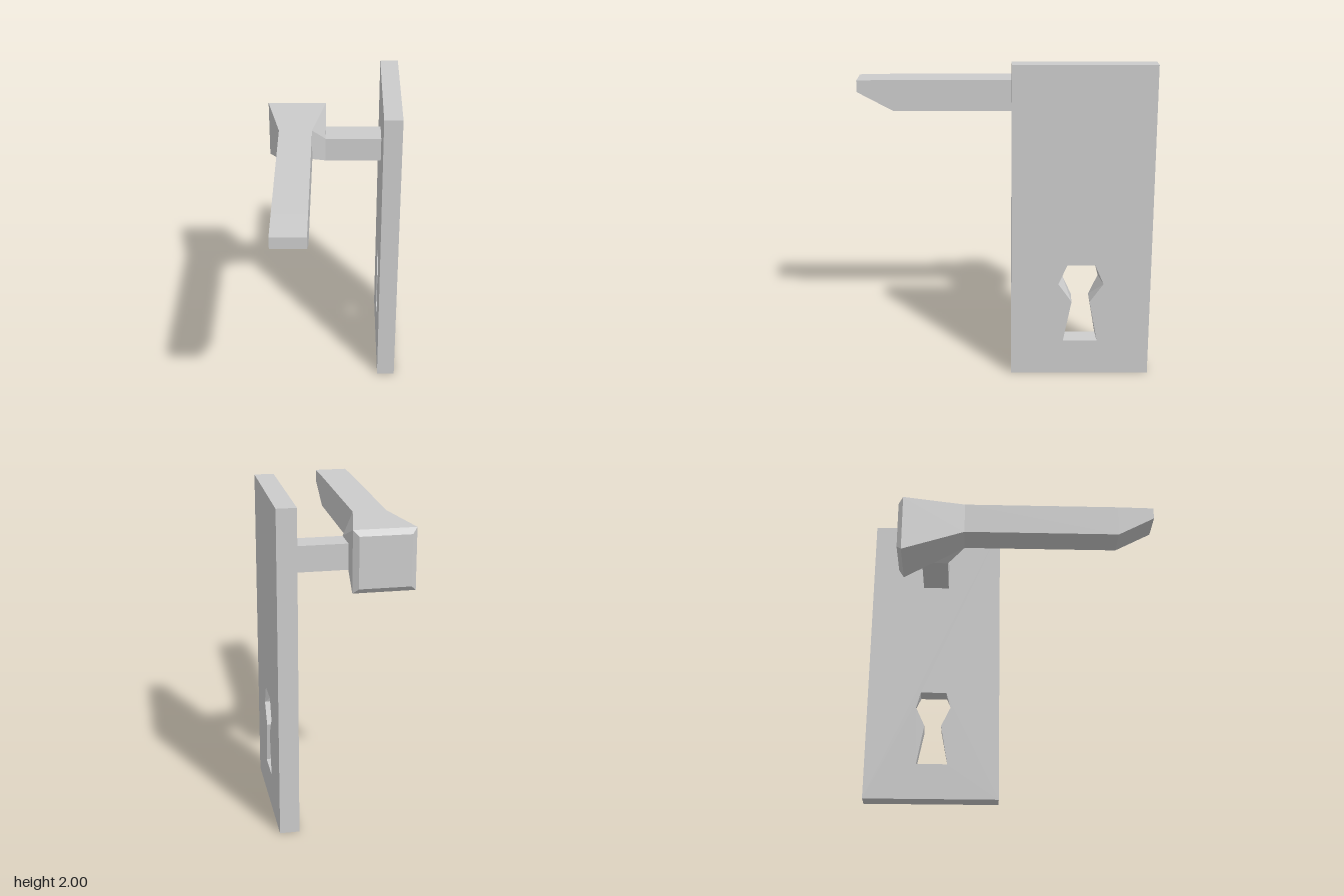
import * as THREE from 'three';

const material = new THREE.MeshStandardMaterial({ color: 0xcccccc, flatShading: true });

function addPart(group, name, geometry) {
  const mesh = new THREE.Mesh(geometry, material);
  mesh.name = name;
  group.add(mesh);
}

// Capped solid through four-cornered rings, each counterclockwise seen from the far end
function loft(rings) {
  const pos = [];
  const quad = (a, b, c, d) => pos.push(...a, ...b, ...c, ...a, ...c, ...d);
  for (let r = 0; r < rings.length - 1; r++) {
    for (let i = 0; i < 4; i++) {
      const j = (i + 1) % 4;
      quad(rings[r][i], rings[r][j], rings[r + 1][j], rings[r + 1][i]);
    }
  }
  quad(...[...rings[0]].reverse());
  quad(...rings[rings.length - 1]);
  const geo = new THREE.BufferGeometry();
  geo.setAttribute('position', new THREE.Float32BufferAttribute(pos, 3));
  geo.computeVertexNormals();
  return geo;
}

const ringZ = (z, x0, x1, y0, y1) => [[x0, y0, z], [x1, y0, z], [x1, y1, z], [x0, y1, z]];
const ringX = (x, y0, y1, z0, z1) => [[x, y0, z0], [x, y1, z0], [x, y1, z1], [x, y0, z1]];

// Door plate with a keyhole that narrows towards the handle side
function plateGeometry() {
  const centre = 0.498, thickness = 0.118;
  // Right half of each keyhole outline: offset from the centre line, height
  const outer = [[0.108, 0.225], [0.057, 0.49], [0.142, 0.61], [0.087, 0.735]];
  const inner = [[0.102, 0.235], [0.055, 0.5], [0.114, 0.628], [0.085, 0.735]];
  const outline = (half) => [
    ...half.map(([s, y]) => new THREE.Vector2(centre + s, y)),
    ...[...half].reverse().map(([s, y]) => new THREE.Vector2(centre - s, y)),
  ];
  const wide = outline(outer), narrow = outline(inner);

  const shape = new THREE.Shape([
    new THREE.Vector2(0.06, 0), new THREE.Vector2(0.935, 0),
    new THREE.Vector2(0.935, 2), new THREE.Vector2(0.06, 2),
  ]);
  shape.holes.push(new THREE.Path(wide));
  const geo = new THREE.ExtrudeGeometry(shape, { depth: thickness, bevelEnabled: false });

  // Move the inner rim of the hole to the narrow outline
  const p = geo.attributes.position;
  for (let i = 0; i < p.count; i++) {
    if (p.getZ(i) > 0.001) continue;
    const k = wide.findIndex((v) => Math.hypot(v.x - p.getX(i), v.y - p.getY(i)) < 0.001);
    if (k >= 0) p.setXY(i, narrow[k].x, narrow[k].y);
  }
  geo.rotateY(Math.PI / 2);
  geo.translate(0.312, 0, 0);
  geo.computeVertexNormals();
  return geo;
}

export function createModel() {
  const group = new THREE.Group();
  group.name = 'doorHandle';

  addPart(group, 'doorPlate', plateGeometry());

  // Lever: bevelled back, flared head, straight grip, tip cut away underneath
  addPart(group, 'lever', loft([
    ringZ(-0.735, -0.4, -0.083, 1.445, 1.762),
    ringZ(-0.705, -0.433, -0.05, 1.412, 1.796),
    ringZ(-0.305, -0.346, -0.135, 1.594, 1.8),
    ringZ(0.7, -0.346, -0.135, 1.594, 1.8),
    ringZ(0.935, -0.346, -0.135, 1.72, 1.796),
  ]));

  // Neck: grows out of the sloping side of the head and runs into the plate
  addPart(group, 'neck', loft([
    [[-0.05, 1.412, -0.705], [-0.05, 1.796, -0.705], [-0.135, 1.8, -0.305], [-0.135, 1.594, -0.305]],
    ringX(-0.05, 1.522, 1.683, -0.587, -0.415),
    ringX(0.313, 1.522, 1.683, -0.587, -0.415),
  ]));

  return group;
}
